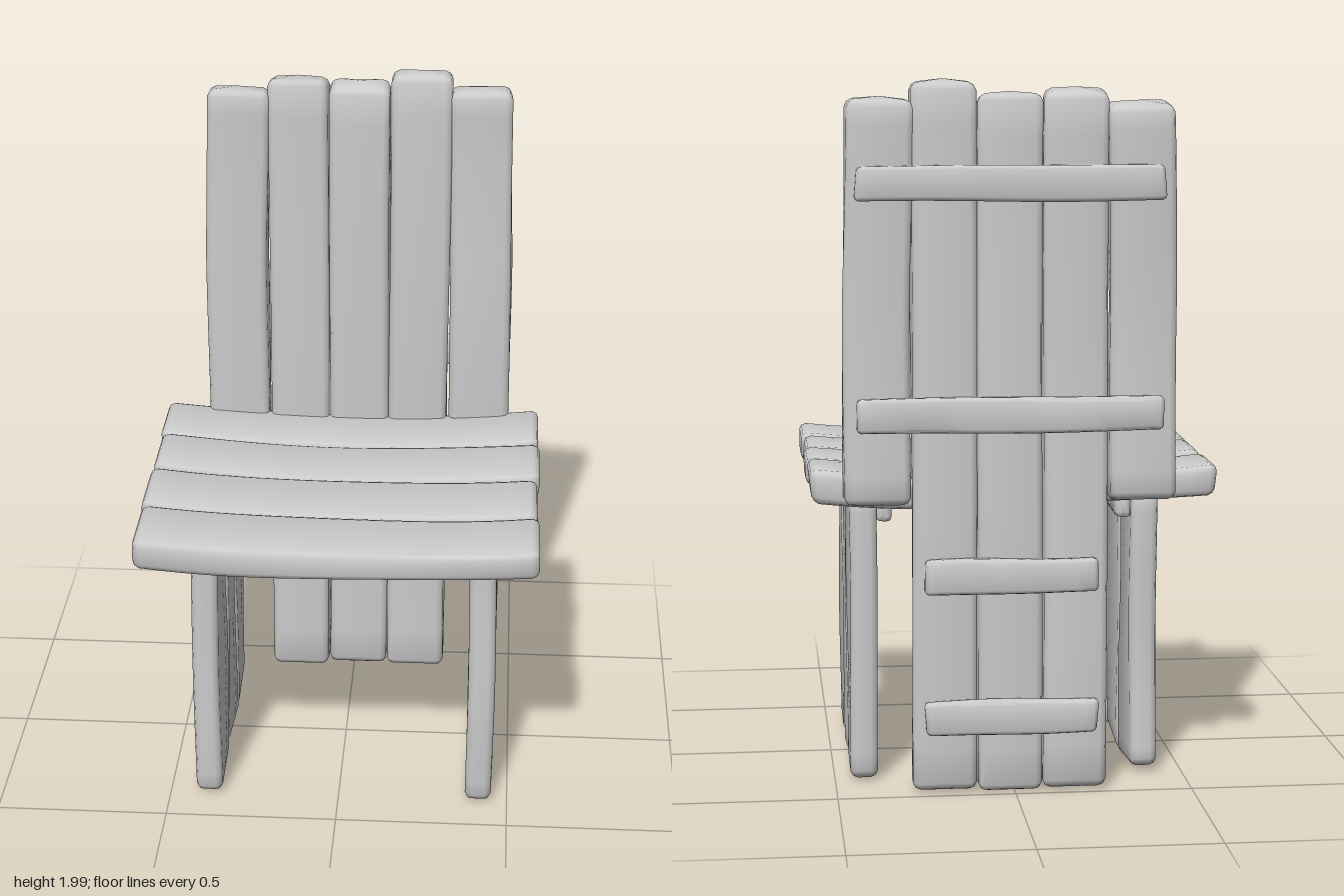
import * as THREE from 'three';
import { toCreasedNormals } from 'three/addons/utils/BufferGeometryUtils.js';

const material = new THREE.MeshStandardMaterial({ color: 0xcccccc });
let seed = 7;
const rand = () => (seed = (seed * 16807) % 2147483647) / 2147483647;

// Rough plank filling the box min..max, lofted along one axis (0 x, 1 y, 2 z).
// wear sets the unevenness; warp(p) may bend or cut the finished points.
function plank(name, min, max, axis, wear = 0.006, warp = null) {
  const a = axis, b = (a + 1) % 3, c = (a + 2) % 3;
  const mid = i => (min[i] + max[i]) / 2, half = i => (max[i] - min[i]) / 2;
  const r = Math.min(0.02, Math.min(half(b), half(c)) * 0.6);
  const length = max[a] - min[a];

  // Stations along the plank: [position, inset], rounded at both ends
  const stations = [[0, r], [r * 0.3, r * 0.35], [r, 0]];
  const steps = 18;
  for (let i = 1; i < steps; i++) stations.push([r + (length - 2 * r) * i / steps, 0]);
  stations.push([length - r, 0], [length - r * 0.3, r * 0.35], [length, r]);

  const ph = [rand() * 6, rand() * 6, rand() * 6, rand() * 6];
  const slantB = (rand() - 0.5) * wear * 3;
  const positions = [], index = [];
  const add = (s, u, v) => {
    const t = s / length, p = [0, 0, 0];
    const end = Math.sign(t - 0.5) * Math.abs(2 * t - 1) ** 4;
    p[a] = min[a] + s + end * (slantB * u / half(b) - Math.abs(wear) * 0.3);
    const narrow = 1 - wear * (0.6 + 0.6 * Math.sin(5 * t + ph[0])) / half(b);
    p[b] = mid(b) + u * narrow + wear * 0.5 * Math.sin(7 * t + ph[1]);
    p[c] = mid(c) + v * (1 - wear * 0.3 / half(c))
      + wear * 0.4 * Math.sin(6 * t + ph[2] + 1.5 * u / half(b)) * (v > 0 ? 1 : 0.6);
    if (warp) warp(p);
    positions.push(...p);
  };

  const n = 12;
  for (const [s, inset] of stations) {
    const rr = r - inset * 0.7, w = half(b) - inset - rr, h = half(c) - inset - rr;
    for (let k = 0; k < 4; k++) for (let j = 0; j < 3; j++) {
      const ang = (k + j / 2) * Math.PI / 2;
      add(s, (k === 0 || k === 3 ? w : -w) + rr * Math.cos(ang),
        (k < 2 ? h : -h) + rr * Math.sin(ang));
    }
  }
  for (let i = 0; i < stations.length - 1; i++) for (let j = 0; j < n; j++) {
    const p = i * n + j, q = i * n + (j + 1) % n;
    index.push(p, q, q + n, p, q + n, p + n);
  }
  // End caps
  const first = stations.length * n, last = (stations.length - 1) * n;
  add(0, 0, 0);
  add(length, 0, 0);
  for (let j = 0; j < n; j++) {
    const k = (j + 1) % n;
    index.push(first, k, j, first + 1, last + j, last + k);
  }
  const geometry = new THREE.BufferGeometry();
  geometry.setAttribute('position', new THREE.Float32BufferAttribute(positions, 3));
  geometry.setIndex(index);
  const mesh = new THREE.Mesh(toCreasedNormals(geometry, 0.9), material);
  mesh.name = name;
  return mesh;
}

function group(name, ...parts) {
  const g = new THREE.Group();
  g.name = name;
  if (parts.length) g.add(...parts);
  return g;
}

export function createModel() {
  seed = 7;
  const chair = group('plankChair');

  // Seat boards, sagging towards the middle
  const seat = group('seat');
  const sag = p => { p[1] -= 0.028 * (1 - (p[0] / 0.575) ** 2); };
  [[-0.43, -0.197], [-0.193, 0.04], [0.042, 0.284], [0.286, 0.525]].forEach(([z0, z1], i) => {
    const shift = i % 2 ? 0.003 : -0.003;
    seat.add(plank('seatBoard', [-0.575 + shift, 0.832, z0], [0.57 + shift, 0.928, z1], 0, 0.007, sag));
  });
  chair.add(seat);

  // Back boards: the three inner ones run to the floor, the outer ones stop at the seat
  const back = group('backrest');
  [
    [-0.452, -0.264, 0.83, 1.945, 0.012],
    [-0.26, -0.078, 0.01, 1.98, 0],
    [-0.078, 0.106, 0.012, 1.968, 0],
    [0.104, 0.287, 0.014, 2.003, 0],
    [0.288, 0.475, 0.83, 1.957, -0.012],
  ].forEach(([x0, x1, y0, y1, lean]) => {
    back.add(plank('backBoard', [x0, y0, -0.49], [x1, y1, -0.386], 1, 0.006, p => {
      p[0] += lean * Math.max(0, p[1] - 1.4) / 0.55;
      // Ragged crown at the top end
      if (p[1] > y1 - 0.03) p[1] -= 0.012 * Math.abs(p[0] - (x0 + x1) / 2) / 0.09;
    }));
  });
  chair.add(back);

  // Battens across the rear of the back boards
  const battens = group('rearBattens');
  [[1.72, -0.41, 0.44], [1.085, -0.41, 0.44], [0.633, -0.23, 0.255], [0.232, -0.23, 0.255]]
    .forEach(([y, x0, x1]) => {
      battens.add(plank('rearBatten', [x0, y - 0.05, -0.525], [x1, y + 0.05, -0.485], 0, 0.003));
    });
  chair.add(battens);

  // Side legs: three upright boards and an inner cleat each
  const notch = p => {
    // Broken-off lower front corner
    const y = p[1];
    if (y < 0.215) p[2] = Math.min(p[2], 0.025 + 0.04 * Math.sqrt(Math.max(0, y) / 0.215));
  };
  for (const [side, x0, x1] of [['left', 0.375, 0.456], ['right', -0.426, -0.345]]) {
    const leg = group(side + 'Leg');
    [[0.146, 0.396], [-0.1, 0.142], [-0.342, -0.1]].forEach(([z0, z1], i) => {
      const broken = i === 1 && side === 'left';
      const fray = p => {
        if (p[1] < 0.08) p[1] += 0.012 * (1 + Math.sin(p[2] * 38 + x0 * 9)) * 0.5;
      };
      leg.add(plank('legBoard', [x0, 0.012, z0], [x1, 0.845, z1], 1, 0.006, broken ? notch : fray));
    });
    const c = side === 'left' ? [0.335, 0.38] : [-0.35, -0.305];
    leg.add(plank('seatCleat', [c[0], 0.755, -0.32], [c[1], 0.835, 0.37], 2, 0.003));
    chair.add(leg);
  }

  // Cleat joining the seat to the back boards
  chair.add(plank('backCleat', [-0.21, 0.766, -0.392], [0.24, 0.835, -0.352], 0, 0.003));
  return chair;
}
